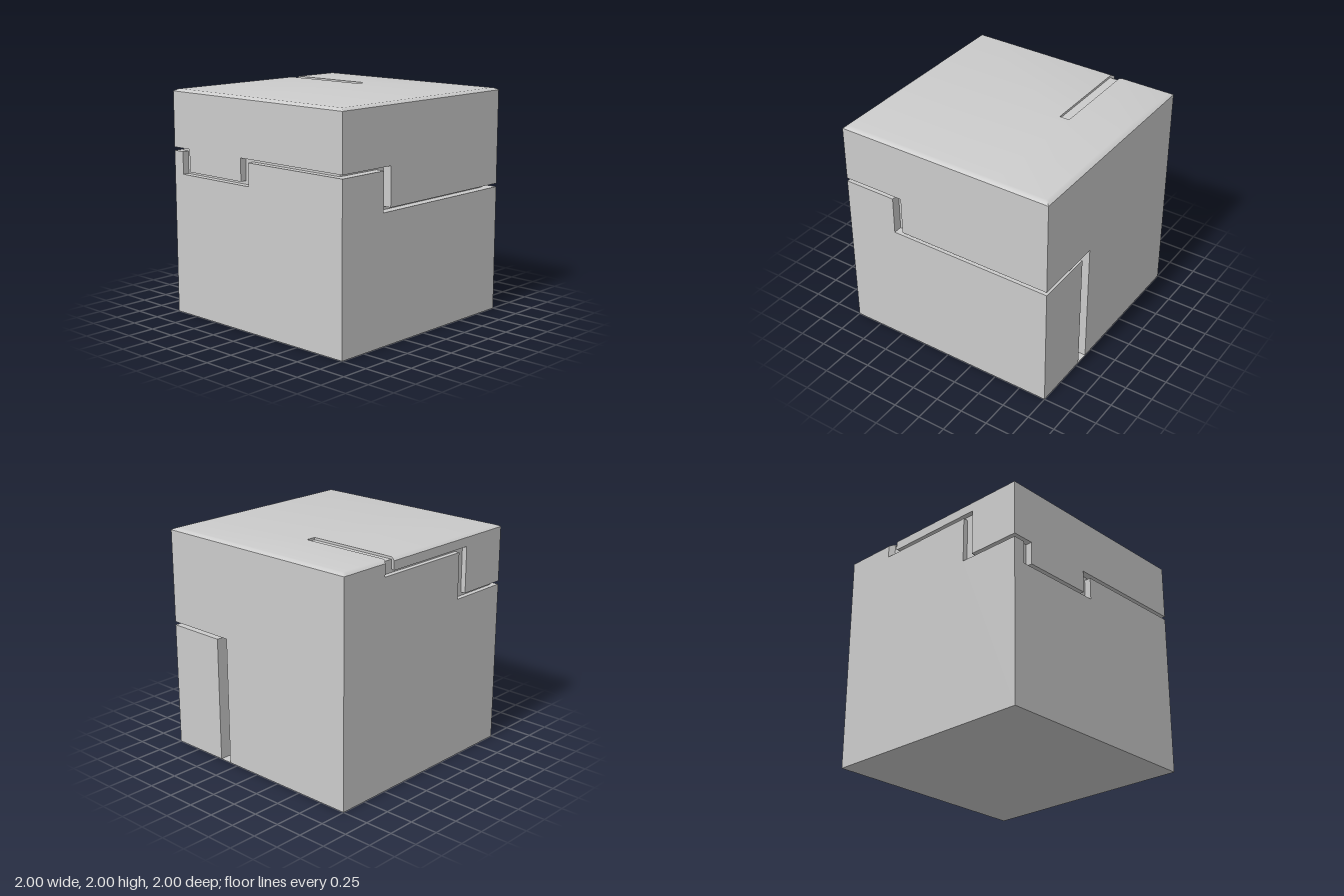
import * as THREE from 'three';
import { toCreasedNormals } from 'three/addons/utils/BufferGeometryUtils.js';

const TOP = 1.98; // height where the rounded cap begins
const BACK = 0.045; // depth of the back groove and width of the cap's bevel

// Outlines run along the seam from one end to the other; u is to the right seen from outside.
const SIDES = [
  { name: 'front', turn: 0, depth: 0.08,
    lower: [[-1, 0], [-1, 1.46], [-0.515, 1.46], [-0.515, 1.12], [1, 1.12], [1, 0]],
    upper: [[-1, TOP], [-1, 1.49], [-0.43, 1.49], [-0.43, 1.15], [1, 1.15], [1, TOP]] },
  { name: 'right', turn: Math.PI / 2, depth: 0.11,
    lower: [[-1, 0], [-1, 1.12], [-0.455, 1.12], [-0.455, 0]],
    upper: [[-1, TOP], [-1, 1.15], [-0.34, 1.15], [-0.34, 0], [1, 0], [1, TOP]] },
  { name: 'back', turn: Math.PI, depth: BACK,
    lower: [[-1, 0], [-1, TOP], [-0.525, TOP], [-0.525, 1.87], [0.42, 1.87], [0.42, 1.46], [1, 1.46], [1, 0]],
    upper: [[-0.42, TOP], [-0.42, 1.9], [0.52, 1.9], [0.52, 1.49], [1, 1.49], [1, TOP]] },
  { name: 'left', turn: -Math.PI / 2, depth: 0.06,
    lower: [[-1, 0], [-1, 1.46], [-0.89, 1.46], [-0.89, 1.26], [-0.06, 1.26], [-0.06, 1.46], [1, 1.46], [1, 0]],
    upper: [[-1, TOP], [-1, 1.49], [-0.8, 1.49], [-0.8, 1.29], [-0.15, 1.29], [-0.15, 1.49], [1, 1.49], [1, TOP]] },
];

// A flat slab standing on one side of the cube
function panelGeometry(side, outline) {
  const shape = new THREE.Shape(outline.map(([u, y]) => new THREE.Vector2(u, y)));
  const geo = new THREE.ExtrudeGeometry(shape, { depth: side.depth, bevelEnabled: false });
  if (side.name === 'back') {
    // the notch at the top edge slants inward to meet the slot in the cap
    const p = geo.attributes.position;
    for (let i = 0; i < p.count; i++) {
      if (p.getZ(i) > 0.01) continue;
      if (Math.abs(p.getX(i) + 0.525) < 0.003) p.setX(i, -0.49);
      if (Math.abs(p.getX(i) + 0.42) < 0.003) p.setX(i, -0.4);
    }
    geo.computeVertexNormals();
  }
  geo.translate(0, 0, 1 - side.depth);
  geo.rotateY(side.turn);
  return geo;
}

// Top surface as a height grid: softly bevelled rim and a slot running in from the back
function capGeometry() {
  const insets = [0, 0.015, 0.03, BACK];
  const heights = [TOP, 1.99, 1.997, 2];
  const low = insets.map((d) => -1 + d);
  const high = insets.map((d) => 1 - d).reverse();
  const xs = [...low, 0.4, 0.4, 0.49, 0.49, ...high];
  const zs = [...low, -0.12, -0.12, ...high];
  const slotX = 5; // first grid line of the slot floor
  const slotEnd = 4; // last grid line of the slot floor
  const rim = (v) => {
    const k = insets.findIndex((d) => 1 - Math.abs(v) <= d + 1e-6);
    return k < 0 ? 2 : heights[k];
  };
  const positions = [];
  const index = [];
  zs.forEach((z, j) => xs.forEach((x, i) => {
    const inSlot = (i === slotX || i === slotX + 1) && j <= slotEnd;
    const t = Math.max(0, (-1 + BACK - z) / BACK);
    const shift = x === 0.4 ? 0.02 * t : x === 0.49 ? 0.035 * t : 0;
    positions.push(x + shift, inSlot ? TOP : Math.min(rim(x), rim(z)), z);
  }));
  const n = xs.length;
  for (let j = 0; j < zs.length - 1; j++) {
    for (let i = 0; i < n - 1; i++) {
      if (i === slotX && j < 3) continue; // open above the back notch
      const a = j * n + i, b = a + n;
      index.push(a, b, b + 1, a, b + 1, a + 1);
    }
  }
  const geo = new THREE.BufferGeometry();
  geo.setAttribute('position', new THREE.Float32BufferAttribute(positions, 3));
  geo.setIndex(index);
  return toCreasedNormals(geo, 0.7);
}

export function createModel() {
  const group = new THREE.Group();
  group.name = 'groovedCube';
  const material = new THREE.MeshStandardMaterial({ color: 0xcccccc });
  const thin = new THREE.MeshStandardMaterial({ color: 0xcccccc, side: THREE.DoubleSide });
  const add = (name, geo, mat = material) => {
    const mesh = new THREE.Mesh(geo, mat);
    mesh.name = name;
    group.add(mesh);
  };

  // Core forms the floors of all the grooves
  const [front, right, back, left] = SIDES.map((s) => s.depth);
  const core = new THREE.BoxGeometry(2 - left - right, TOP, 2 - front - back);
  core.translate((left - right) / 2, TOP / 2, (back - front) / 2);
  add('core', core);

  // Interlocking upper and lower panels on every side
  for (const side of SIDES) {
    add(`${side.name}LowerPanel`, panelGeometry(side, side.lower));
    add(`${side.name}UpperPanel`, panelGeometry(side, side.upper));
  }

  add('topCap', capGeometry());

  // Base closes the bottom of the right-hand groove
  add('base', new THREE.PlaneGeometry(2, 2).rotateX(Math.PI / 2), thin);
  return group;
}
